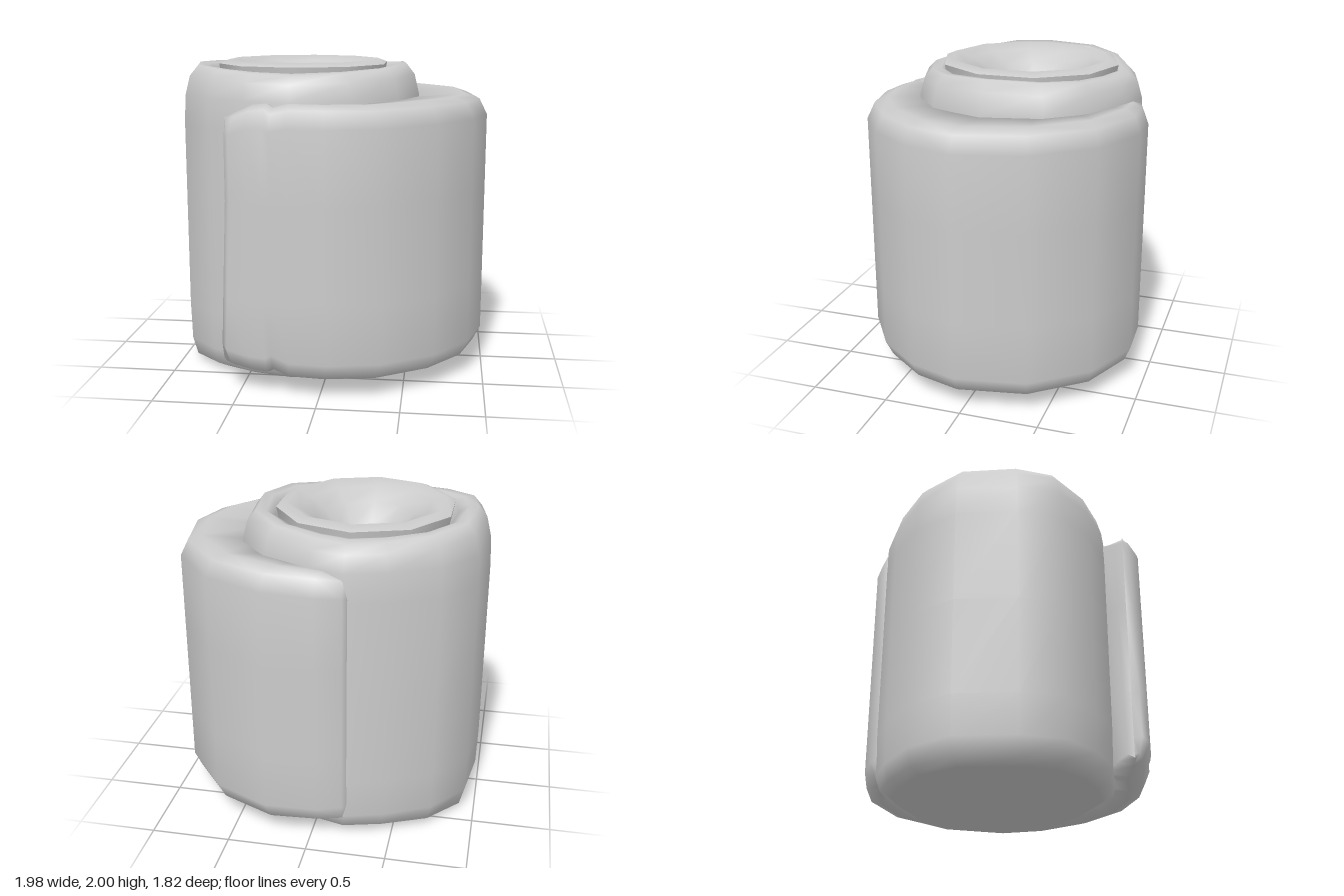
import * as THREE from 'three';

const material = new THREE.MeshStandardMaterial({ color: 0xcccccc, side: THREE.DoubleSide });

// Skin closed loops of [x, y, z] points, row after row, with smooth normals
function loft(name, rows) {
  const n = rows[0].length, index = [];
  for (let r = 0; r < rows.length - 1; r++) {
    for (let i = 0; i < n; i++) {
      const a = r * n + i, c = r * n + (i + 1) % n;
      index.push(a, a + n, c, a + n, c + n, c);
    }
  }
  const geometry = new THREE.BufferGeometry();
  geometry.setAttribute('position', new THREE.Float32BufferAttribute(rows.flat(2), 3));
  geometry.setIndex(index);
  geometry.computeVertexNormals();
  const mesh = new THREE.Mesh(geometry, material);
  mesh.name = name;
  return mesh;
}

// Main roll: an uneven outline [x, z] scaled along a rounded profile
function makeRoll() {
  const outline = [
    [-0.99, 0], [-0.94, -0.38], [-0.74, -0.62], [-0.45, -0.76], [-0.2, -0.83],
    [0.02, -0.77], [0.32, -0.62], [0.52, -0.38], [0.56, 0.02], [0.44, 0.36],
    [0.17, 0.56], [-0.2, 0.68], [-0.5, 0.6], [-0.74, 0.47], [-0.94, 0.27],
  ];
  const cx = -0.21, cz = -0.06;
  // [scale, height, how much the front and back sag]
  const profile = [
    [0, 0.03, 0], [0.6, 0.02, 0], [0.86, 0, -0.02], [0.95, 0.03, -0.03], [0.99, 0.15, 0],
    [1, 0.4, 0], [1, 1, 0], [1, 1.6, 0], [0.99, 1.78, 0], [0.95, 1.91, 0.03],
    [0.88, 1.98, 0.05], [0.8, 1.97, 0.03], [0.73, 1.93, 0], [0.68, 1.8, 0],
  ];
  return loft('mainRoll', profile.map(([s, y, sag]) => outline.map(([x, z]) => {
    const dx = x - cx, dz = z - cz;
    const facing = dz * dz / (dx * dx + dz * dz);
    return [cx + dx * s, y - sag * facing, cz + dz * s];
  })));
}

// Inner roll: ten-sided lip falling into a funnel
function makeInnerRoll() {
  // [radius, height, centre z]
  const lip = [[0.55, 1.85, -0.075], [0.575, 1.975, -0.075]];
  const funnel = [
    [0.575, 1.975, -0.075], [0.51, 2, -0.07], [0.42, 1.965, -0.08], [0.31, 1.9, -0.1],
    [0.2, 1.78, -0.1], [0.1, 1.69, -0.09], [0, 1.67, -0.08],
  ];
  const ring = ([r, y, z]) => Array.from({ length: 10 }, (_, i) => {
    const a = (i - 2.5) * Math.PI / 5;
    return [-0.21 + r * 0.98 * Math.cos(a), y, z + r * 1.02 * Math.sin(a)];
  });
  const group = new THREE.Group();
  group.name = 'innerRoll';
  group.add(loft('innerLip', lip.map(ring)), loft('funnel', funnel.map(ring)));
  return group;
}

// Outer layer: a thick sheet wrapped from the front flap round to the back seam
function makeWrap() {
  // [outer x, z, inner x, z, bottom, top]
  const stations = [
    [-0.595, 0.76, -0.56, 0.67, 0.17, 1.7],
    [-0.56, 0.81, -0.48, 0.62, 0.145, 1.73],
    [-0.43, 0.845, -0.38, 0.58, 0.12, 1.77],
    [-0.33, 0.86, -0.31, 0.57, 0.115, 1.78],
    [-0.29, 0.86, -0.28, 0.57, 0.135, 1.755],
    [-0.18, 0.885, -0.2, 0.58, 0.1, 1.78],
    [0.05, 0.905, -0.06, 0.52, 0.1, 1.78],
    [0.37, 0.84, 0.14, 0.47, 0.1, 1.78],
    [0.69, 0.63, 0.31, 0.32, 0.1, 1.79],
    [0.9, 0.35, 0.41, 0.16, 0.1, 1.79],
    [0.99, 0.04, 0.46, 0, 0.1, 1.79],
    [0.91, -0.4, 0.44, -0.3, 0.1, 1.8],
    [0.64, -0.74, 0.28, -0.52, 0.1, 1.8],
    [0.28, -0.91, 0.08, -0.63, 0.1, 1.8],
    [-0.04, -0.9, -0.08, -0.68, 0.1, 1.78],
    [-0.2, -0.86, -0.2, -0.7, 0.11, 1.77],
    [-0.24, -0.8, -0.22, -0.7, 0.13, 1.75],
  ];
  const rows = stations.map(([ox, oz, ix, iz, y0, y1], k) => {
    const thick = Math.hypot(ix - ox, iz - oz);
    const t1 = Math.min(0.05 / thick, 0.25), t2 = Math.min(0.14 / thick, 0.5);
    const at = (t, y) => [ox + (ix - ox) * t, y, oz + (iz - oz) * t];
    const section = [
      at(0, y0 + 0.13), at(0, 0.6), at(0, 1.2), at(0, y1 - 0.13), at(t1, y1 - 0.03),
      at(t2, y1), at(1, y1 - 0.03), at(1, 1.2), at(1, 0.6), at(1, y0 + 0.03),
      at(t2, y0), at(t1, y0 + 0.03),
    ];
    // the flap's free edge leans in towards the top
    if (k < 2) section.forEach((p) => { p[0] += 0.04 * Math.min(1, Math.max(0, p[1] - 0.2)) - 0.02; });
    return section;
  });
  // close both ends
  const cap = (row) => row.map(([, y], i) => [
    (row[0][0] + row[6][0]) / 2, y, (row[0][2] + row[6][2]) / 2,
  ]);
  return loft('outerWrap', [cap(rows[0]), ...rows, cap(rows[rows.length - 1])]);
}

export function createModel() {
  const model = new THREE.Group();
  model.name = 'rolledCloth';
  model.add(makeRoll(), makeInnerRoll(), makeWrap());
  return model;
}
